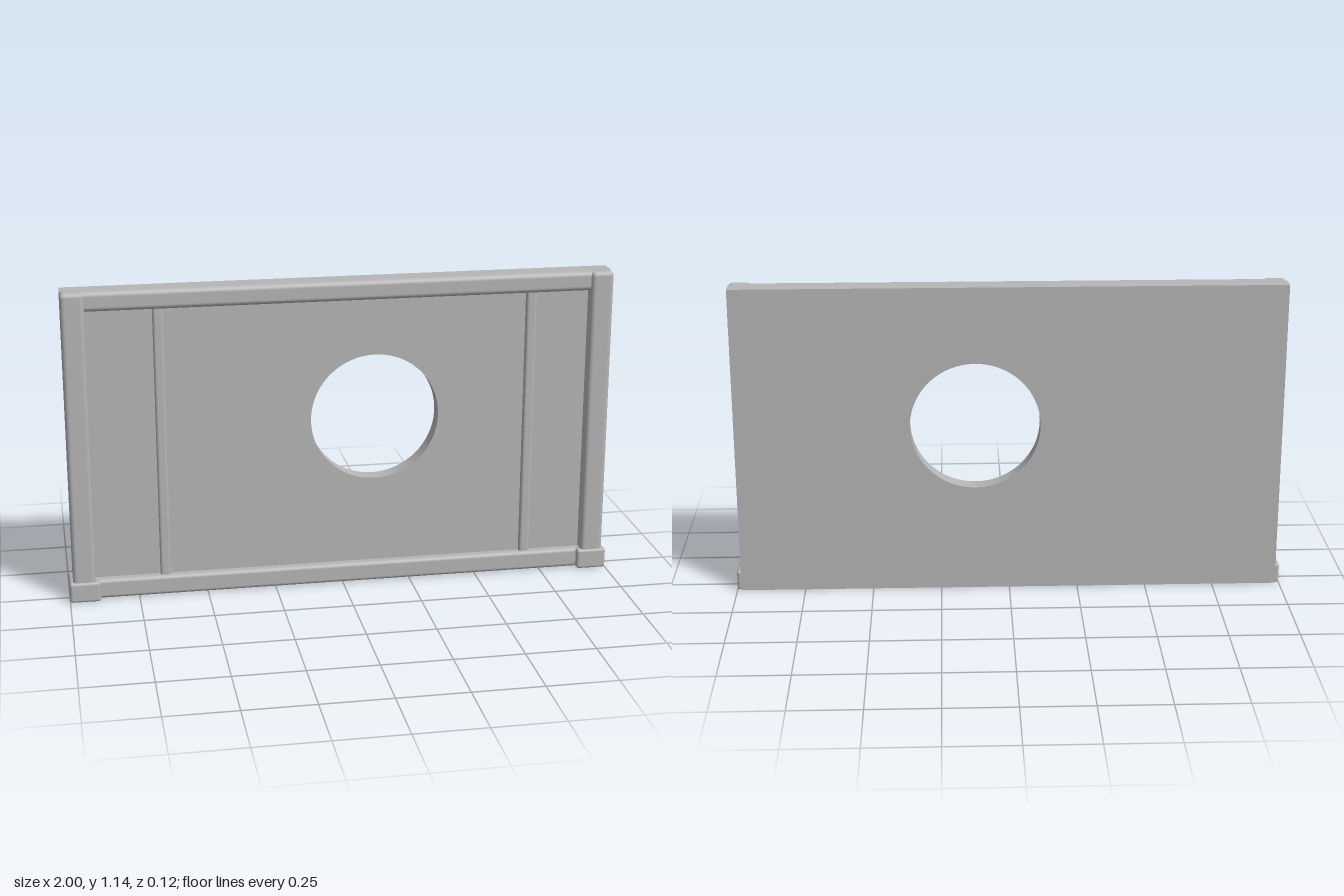
import * as THREE from 'three';
import { RoundedBoxGeometry } from 'three/addons/geometries/RoundedBoxGeometry.js';

export function createModel() {
  const group = new THREE.Group();
  const grey = new THREE.MeshStandardMaterial({ color: 0xb6b6b6 });
  grey.name = 'plain grey';

  const add = (name, geometry) => {
    const mesh = new THREE.Mesh(geometry, grey);
    mesh.name = name;
    group.add(mesh);
  };

  // Softly rounded bar given by its extents
  const bar = (name, x0, x1, y0, y1, z0, z1, radius) => {
    const g = new RoundedBoxGeometry(x1 - x0, y1 - y0, z1 - z0, 4, radius);
    g.translate((x0 + x1) / 2, (y0 + y1) / 2, (z0 + z1) / 2);
    add(name, g);
  };

  // Flat backing panel with a round opening
  const outline = new THREE.Shape();
  outline.moveTo(-0.985, 0).lineTo(0.985, 0).lineTo(0.985, 1.14).lineTo(-0.985, 1.14).closePath();
  const opening = new THREE.Path();
  opening.absarc(0.122, 0.628, 0.234, 0, Math.PI * 2, true);
  outline.holes.push(opening);
  const panel = new THREE.ExtrudeGeometry(outline, { depth: 0.062, bevelEnabled: false, curveSegments: 48 });
  panel.translate(0, 0, -0.058);
  add('backPanel', panel);

  // Corner posts standing on small feet
  for (const [side, s] of [['left', 1], ['right', -1]]) {
    const span = (a, b) => (s > 0 ? [a, b] : [-b, -a]);
    bar(side + 'Post', ...span(0.905, 0.987), 0.05, 1.141, -0.057, 0.051, 0.016);
    bar(side + 'Foot', ...span(0.89, 1), 0, 0.075, -0.057, 0.058, 0.01);
  }

  // Horizontal rails between the posts
  bar('topRail', -0.93, 0.93, 1.07, 1.141, -0.05, 0.038, 0.018);
  bar('bottomRail', -0.93, 0.93, 0.002, 0.074, -0.05, 0.036, 0.014);

  // Slim vertical battens
  bar('rightBatten', -0.67, -0.632, 0.06, 1.085, -0.03, 0.022, 0.01);
  bar('leftBatten', 0.673, 0.711, 0.06, 1.085, -0.03, 0.022, 0.01);

  return group;
}
